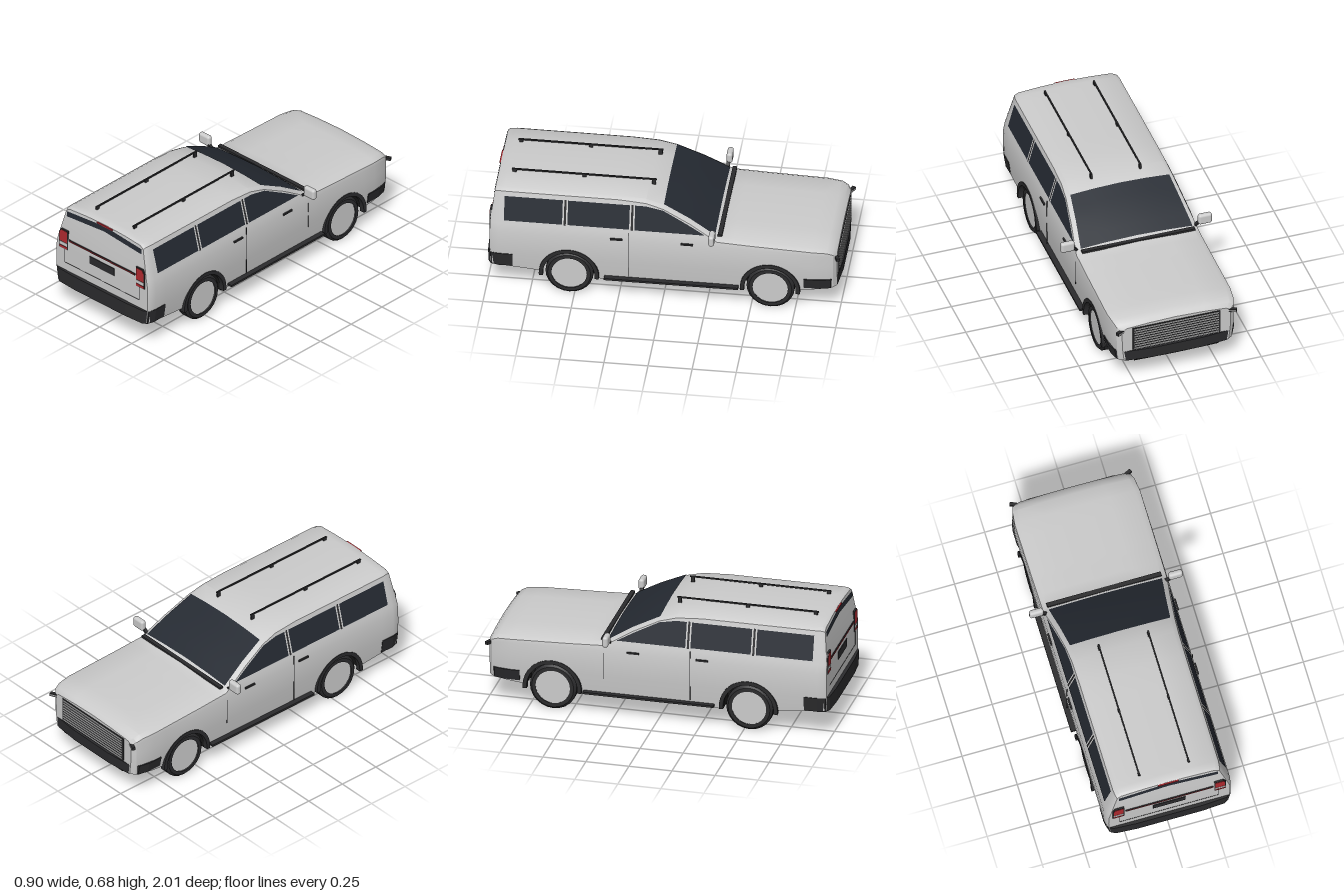
import * as THREE from 'three';
import { toCreasedNormals } from 'three/addons/utils/BufferGeometryUtils.js';
import { RoundedBoxGeometry } from 'three/addons/geometries/RoundedBoxGeometry.js';

const mat = (color) => new THREE.MeshStandardMaterial({ color, side: THREE.DoubleSide });
const paint = mat(0xcccccc), dark = mat(0x2b2b2d), black = mat(0x1a1a1a);
const glass = mat(0x252a32), red = mat(0xb02a30), white = mat(0xe6e6e6);

// Piecewise linear table lookup
const lerp = (table, z) => {
  if (z <= table[0][0]) return table[0][1];
  for (let i = 1; i < table.length; i++) {
    const [a, u] = table[i - 1], [b, v] = table[i];
    if (z <= b) return u + (v - u) * (z - a) / (b - a);
  }
  return table[table.length - 1][1];
};

// Body profiles along z (nose at -z)
const top = (z) => lerp([[-0.985, 0.4], [-0.965, 0.42], [-0.93, 0.435], [-0.85, 0.441], [-0.5, 0.453], [-0.31, 0.462],
  [-0.15, 0.557], [0, 0.63], [0.1, 0.657], [0.25, 0.667], [0.93, 0.668], [0.965, 0.667], [0.98, 0.66]], z);
const plan = (z) => lerp([[-0.985, 0.87], [-0.965, 0.94], [-0.92, 0.98], [-0.85, 1], [0.93, 1], [0.965, 0.985], [0.98, 0.96]], z);
const sill = (z) => lerp([[-0.985, 0.165], [-0.75, 0.14], [-0.45, 0.115], [0.38, 0.115], [0.67, 0.14], [0.98, 0.17]], z);
const floorY = (z) => lerp([[-0.985, 0.15], [-0.45, 0.1], [0.4, 0.1], [0.66, 0.125], [0.98, 0.165]], z);
const sideX = (y) => lerp([[0.1, 0.348], [0.25, 0.368], [0.32, 0.37], [0.4, 0.369], [0.45, 0.359], [0.65, 0.306]], y);
const rearZ = (y) => 0.98 - Math.max(0, y - 0.45) * 0.12;

const WHEELS = [0.53, -0.61], WHEEL_Y = 0.138, ARCH = 0.152;
const lowY = (z) => {
  let y = sill(z);
  for (const c of WHEELS) {
    const d = z - c;
    if (Math.abs(d) < ARCH) y = Math.max(y, WHEEL_Y + Math.sqrt(ARCH * ARCH - d * d));
  }
  return y;
};

// Half cross-section from roof centre down to the sill
function section(z) {
  const t = top(z), k = plan(z), e = sideX(t - 0.03), low = lowY(z);
  const at = (y) => [sideX(y) * k, y];
  const pts = [[0, t], [e * k * 0.5, t - 0.005], [e * k * 0.92, t - 0.015], at(t - 0.03),
    at(Math.min(0.45, t - 0.035)), at(Math.min(0.4, t - 0.05)), at(0.315), at(Math.max(low, 0.25)), at(low)];
  return pts.map(([x, y]) => [x, y, z > 0.9 ? z - (0.98 - rearZ(y)) : z]);
}
// Half cross-section of the underside, from the sill inwards
function underside(z) {
  const low = lowY(z), f = floorY(z), w = sideX(low) * plan(z);
  return [[w, low, z], [0.25, low, z], [0.25, f, z], [0, f - 0.004, z]];
}
const mirrorRow = (half, centreFirst) => {
  const flip = half.map(([x, y, z]) => [-x, y, z]);
  return centreFirst ? [...flip.slice(1).reverse(), ...half] : [...half, ...flip.slice(0, -1).reverse()];
};

// Surface through rows of points, with optional flat ends
function loft(rows, capped) {
  const pos = [];
  const quad = (a, b, c, d) => pos.push(...a, ...d, ...c, ...a, ...c, ...b);
  const n = rows[0].length;
  for (let i = 0; i + 1 < rows.length; i++)
    for (let j = 0; j + 1 < n; j++) quad(rows[i][j], rows[i][j + 1], rows[i + 1][j + 1], rows[i + 1][j]);
  if (capped) {
    const first = rows[0], last = rows[rows.length - 1];
    for (let j = 0; j < (n - 1) / 2; j++) {
      const k = n - 1 - j;
      quad(last[j + 1], last[k - 1], last[k], last[j]);
      quad(first[j], first[k], first[k - 1], first[j + 1]);
    }
  }
  const g = new THREE.BufferGeometry();
  g.setAttribute('position', new THREE.Float32BufferAttribute(pos, 3));
  g.computeVertexNormals();
  return toCreasedNormals(g, 0.5);
}

// Flat outline moved onto a curved surface by a rule
function panel(points, place) {
  const g = new THREE.ShapeGeometry(new THREE.Shape(points.map((p) => new THREE.Vector2(...p))));
  const p = g.attributes.position;
  for (let i = 0; i < p.count; i++) p.setXYZ(i, ...place(p.getX(i), p.getY(i)));
  g.computeVertexNormals();
  return g;
}
const extrude = (points, depth) => new THREE.ExtrudeGeometry(
  new THREE.Shape(points.map((p) => new THREE.Vector2(...p))), { depth, bevelEnabled: false, curveSegments: 12 });

export function createModel() {
  const car = new THREE.Group();
  car.name = 'estateCar';
  const add = (name, geo, m, x = 0, y = 0, z = 0) => {
    const mesh = new THREE.Mesh(geo, m);
    mesh.name = name;
    mesh.position.set(x, y, z);
    car.add(mesh);
    return mesh;
  };
  const box = (name, m, w, h, d, x, y, z) => add(name, new THREE.BoxGeometry(w, h, d), m, x, y, z);

  // Body shell and underside, with extra stations round the wheel arches
  const stations = [-0.985, -0.965, -0.93, -0.85, -0.4, -0.31, -0.23, -0.15, -0.07, 0, 0.1, 0.25, 0.85, 0.93, 0.965, 0.98];
  for (const c of WHEELS) for (let i = 0; i <= 16; i++) stations.push(c + ARCH * Math.cos(Math.PI * i / 16));
  stations.sort((a, b) => a - b);
  add('bodyShell', loft(stations.map((z) => mirrorRow(section(z), true)), true), paint);
  add('underbody', loft(stations.map((z) => mirrorRow(underside(z), false)), false), black);

  // Windscreen and cowl
  const screen = [-0.295, -0.23, -0.15, -0.07, 0].map((z) =>
    mirrorRow(section(z).slice(0, 3).map(([x, y, w]) => [x, y + 0.004, w]), true));
  add('windscreen', loft(screen, false), glass);
  box('cowl', dark, 0.67, 0.012, 0.025, 0, 0.46, -0.322);

  // Bumpers: plan outline, drawn in towards the bottom
  const bumper = (name, outline, y0, y1) => {
    const pts = [...outline, ...outline.map(([x, z]) => [-x, z]).reverse()];
    const g = extrude(pts, y1 - y0).rotateX(Math.PI / 2).translate(0, y1, 0);
    const p = g.attributes.position;
    for (let i = 0; i < p.count; i++) if (p.getY(i) < y0 + 0.01) p.setX(i, p.getX(i) * 0.965);
    g.computeVertexNormals();
    add(name, g, dark);
  };
  bumper('rearBumper', [[0.371, 0.85], [0.373, 0.93], [0.36, 0.975], [0.33, 0.992], [0.2, 1]], 0.163, 0.25);
  bumper('frontBumper', [[0.371, -0.8], [0.37, -0.89], [0.355, -0.95], [0.31, -0.985], [0.15, -1]], 0.16, 0.225);

  // Tailgate
  const onTail = (off) => (x, y) => [x, y, rearZ(y) + off];
  add('rearWindow', panel([[-0.29, 0.597], [0, 0.62], [0.29, 0.597], [0.29, 0.628], [0, 0.652], [-0.29, 0.628]], onTail(0.003)), glass);
  box('highBrakeLight', red, 0.12, 0.007, 0.012, 0, 0.654, 0.957);
  box('tailStripFrame', dark, 0.515, 0.012, 0.01, 0, 0.456, 0.979);
  box('tailStrip', red, 0.505, 0.005, 0.012, 0, 0.456, 0.98);
  box('plateRecess', dark, 0.19, 0.048, 0.008, 0, 0.4, 0.98);
  box('tailgateLowerSeam', dark, 0.58, 0.002, 0.003, 0, 0.3, 0.98);

  // Grille with horizontal bars
  box('grille', dark, 0.52, 0.15, 0.01, 0, 0.305, -0.984);
  for (let i = 0; i < 9; i++) box('grilleBar', paint, 0.5, 0.006, 0.012, 0, 0.24 + i * 0.0163, -0.987);

  // Tyre and rim profiles, turned about the axle
  const tyreGeo = new THREE.LatheGeometry([[0.1, -0.042], [0.122, -0.042], [0.136, -0.028], [0.136, 0.028], [0.122, 0.042], [0.1, 0.042]]
    .map((p) => new THREE.Vector2(...p)), 24).rotateZ(-Math.PI / 2);
  const tyre = toCreasedNormals(tyreGeo, 0.5);
  const rim = new THREE.CylinderGeometry(0.102, 0.102, 0.07, 24).rotateZ(Math.PI / 2);

  for (const s of [1, -1]) {
    // Side windows
    const onSide = (z, y) => [s * (sideX(y) + 0.003), y, z];
    add('rearQuarterWindow', panel([[0.57, 0.47], [0.9, 0.47], [0.9, 0.612], [0.57, 0.612]], onSide), glass);
    add('rearDoorWindow', panel([[0.19, 0.47], [0.54, 0.47], [0.54, 0.612], [0.19, 0.612]], onSide), glass);
    add('frontDoorWindow', panel([[-0.24, 0.468], [0.16, 0.468], [0.16, 0.612], [0.1, 0.612], [0, 0.594], [-0.14, 0.523]], onSide), glass);
    for (const z of [0.555, 0.175])
      add('pillarTrim', panel([[z - 0.006, 0.465], [z + 0.006, 0.465], [z + 0.006, 0.615], [z - 0.006, 0.615]], onSide), dark);

    // Door seams and handles
    box('doorSeam', dark, 0.004, 0.3, 0.004, s * 0.368, 0.305, 0.19);
    box('frontDoorSeam', dark, 0.004, 0.16, 0.002, s * 0.368, 0.31, -0.31);
    for (const z of [0.26, -0.14]) box('doorHandle', dark, 0.012, 0.01, 0.07, s * 0.37, 0.406, z);
    box('tailgateSeam', dark, 0.002, 0.15, 0.003, s * 0.29, 0.375, 0.98);

    // Running board
    box('runningBoard', dark, 0.06, 0.012, 0.76, s * 0.355, 0.135, -0.05);

    // Door mirror
    add('mirror', new RoundedBoxGeometry(0.082, 0.066, 0.034, 3, 0.015), paint, s * 0.408, 0.488, -0.285);
    box('mirrorArm', dark, 0.045, 0.012, 0.02, s * 0.368, 0.462, -0.28).rotation.z = s * 0.6;

    // Roof rail on three feet
    box('roofRail', dark, 0.008, 0.008, 0.82, s * 0.145, 0.68, 0.47);
    for (const z of [0.075, 0.47, 0.865]) box('railFoot', dark, 0.011, 0.034, 0.022, s * 0.145, 0.665, z);

    // Tail lamp: frame, red lens and clear band
    const lamp = [[0.265, 0.388], [0.332, 0.388], [0.332, 0.49], [0.318, 0.512], [0.265, 0.512]];
    add('tailLampFrame', extrude(lamp.map(([x, y]) => [s * x, y]), 0.03), dark, 0, 0, 0.953);
    const lens = [[0.27, 0.432], [0.326, 0.432], [0.326, 0.488], [0.315, 0.507], [0.27, 0.507]];
    add('tailLampLens', extrude(lens.map(([x, y]) => [s * x, y]), 0.03), red, 0, 0, 0.955);
    box('tailLampBand', white, 0.058, 0.02, 0.02, s * 0.298, 0.419, 0.975);
    box('tailLampLower', red, 0.058, 0.014, 0.02, s * 0.298, 0.398, 0.975);

    // Headlamp wrapped round the nose corner
    const head = box('headlamp', dark, 0.09, 0.018, 0.02, s * 0.315, 0.365, -0.976);
    head.rotation.y = s * 0.45;
    const lit = box('headlampLens', white, 0.08, 0.006, 0.022, s * 0.315, 0.366, -0.978);
    lit.rotation.y = s * 0.45;

    for (const z of WHEELS) {
      add('tyre', tyre, dark, s * 0.312, WHEEL_Y, z);
      add('rim', rim, paint, s * 0.312, WHEEL_Y, z);
      // Wheel arch trim
      const arc = new THREE.Shape();
      arc.absarc(0, 0, 0.17, -0.1, Math.PI + 0.1, false);
      arc.absarc(0, 0, 0.147, Math.PI + 0.1, -0.1, true);
      const g = new THREE.ExtrudeGeometry(arc, { depth: 0.03, bevelEnabled: false, curveSegments: 18 });
      g.translate(0, 0, -0.015).rotateY(Math.PI / 2);
      add('wheelArch', g, dark, s * 0.358, WHEEL_Y, z);
    }
  }
  return car;
}
